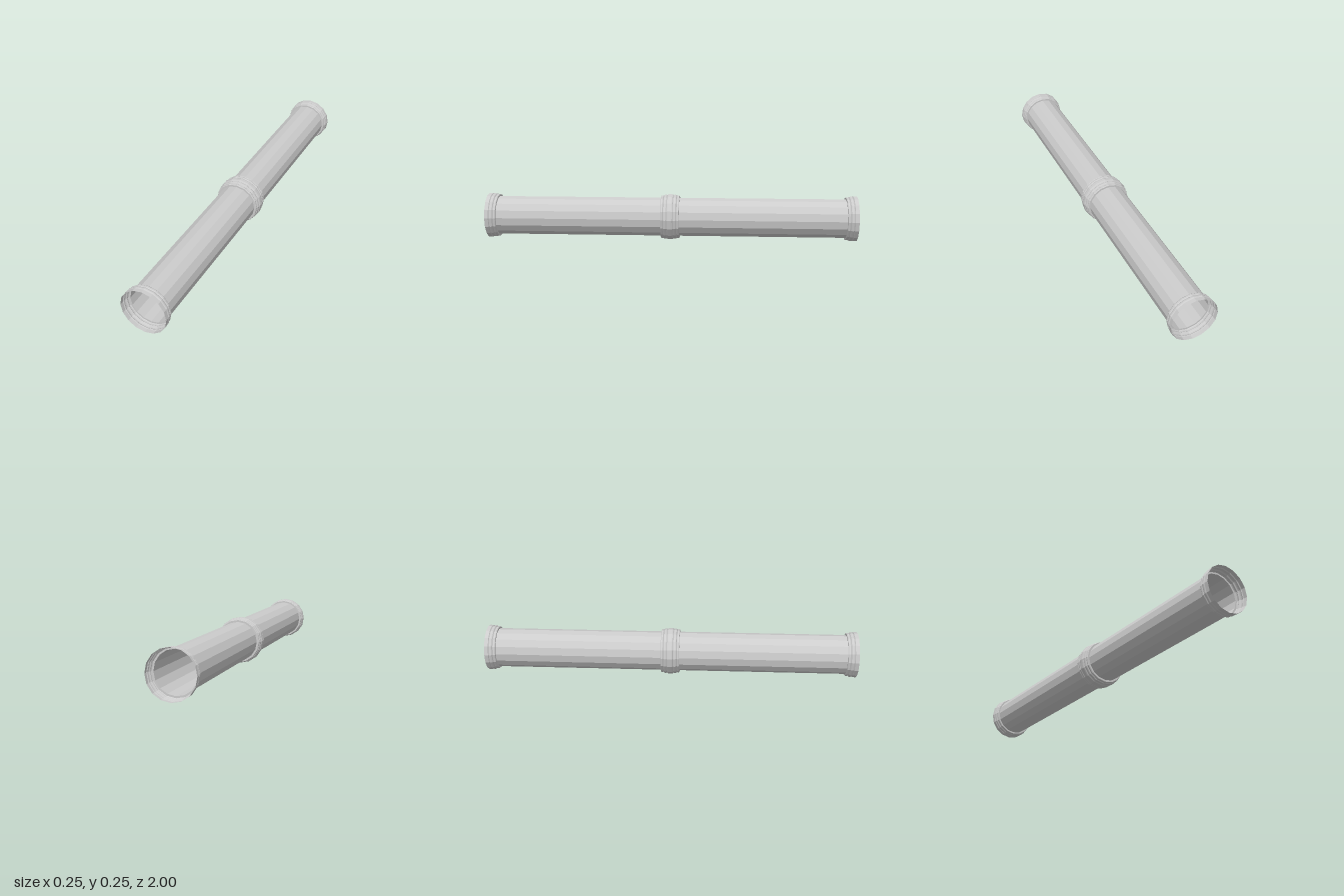
import * as THREE from 'three';

const SIDES = 16;
const R = 0.105; // tube radius
const AXIS = 0.125; // height of the pipe axis

export function createModel() {
  const group = new THREE.Group();
  group.name = 'pipe';
  const material = new THREE.MeshStandardMaterial({
    color: 0xcccccc, flatShading: true, side: THREE.DoubleSide,
  });

  // Revolves [radius, z] pairs around the pipe axis
  function ring(name, profile) {
    const points = profile.map(([r, z]) => new THREE.Vector2(r, z));
    const geometry = new THREE.LatheGeometry(points, SIDES);
    geometry.rotateX(Math.PI / 2);
    const mesh = new THREE.Mesh(geometry, material);
    mesh.name = name;
    mesh.position.y = AXIS;
    group.add(mesh);
    return mesh;
  }

  // Moulded flare at each open end
  const flare = [
    [R, 0.942], [0.114, 0.942], [0.117, 0.946], [0.117, 0.953], [0.114, 0.957],
    [0.119, 0.961], [0.121, 0.966], [0.121, 0.972], [0.118, 0.977],
    [0.122, 0.98], [0.122, 1],
  ];

  // Half of the middle coupling, mirrored to make the whole
  const half = [
    [R, 0.05], [0.115, 0.05], [0.118, 0.047], [0.118, 0.04], [0.115, 0.036],
    [0.12, 0.033], [0.122, 0.028], [0.122, 0.022], [0.119, 0.017],
    [0.123, 0.014], [0.125, 0.008],
  ];
  ring('middleCoupling', [
    ...half.map(([r, z]) => [r, -z]),
    ...[...half].reverse(),
  ]);

  for (const [side, s] of [['front', 1], ['back', -1]]) {
    const order = (p) => (s > 0 ? p : [...p].reverse()).map(([r, z]) => [r, s * z]);
    ring(side + 'Tube', order([[R, 0.05], [R, 0.942]]));
    ring(side + 'EndCollar', order(flare));
  }
  return group;
}
